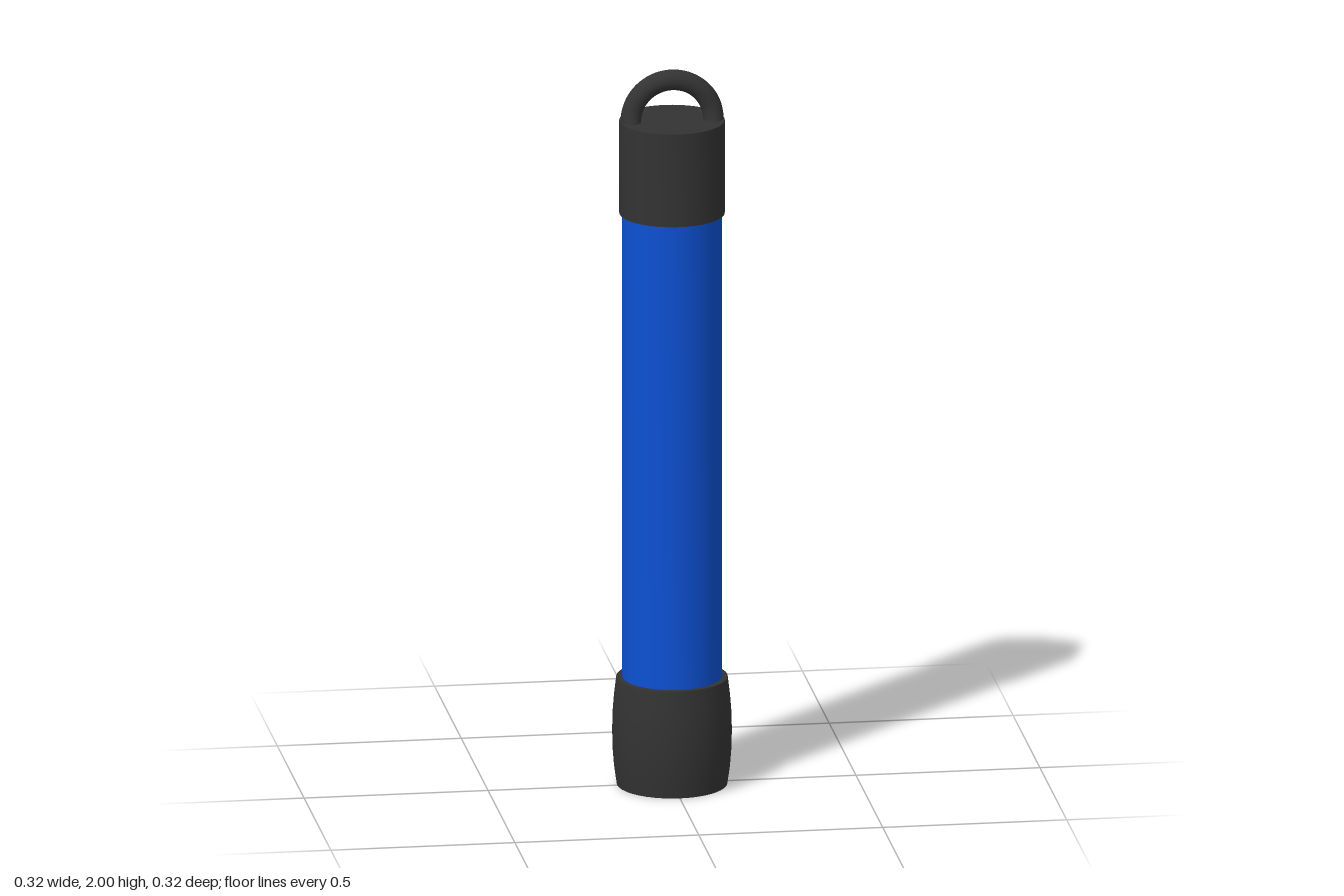
import * as THREE from 'three';
import { toCreasedNormals } from 'three/addons/utils/BufferGeometryUtils.js';

const SIDES = 40;
const rubber = new THREE.MeshStandardMaterial({ color: 0x333333 });
const blue = new THREE.MeshStandardMaterial({ color: 0x0d50d2 });

// Solid of revolution from [radius, height] pairs, listed bottom to top
function turned(name, profile, material) {
  const points = profile.map(([r, y]) => new THREE.Vector2(r, y));
  const geometry = toCreasedNormals(new THREE.LatheGeometry(points, SIDES), 0.6);
  const mesh = new THREE.Mesh(geometry, material);
  mesh.name = name;
  return mesh;
}

// Half ring whose two feet widen where they meet the cap
function hangingLoop() {
  const geometry = new THREE.TorusGeometry(0.112, 0.028, 16, 32, Math.PI);
  const pos = geometry.attributes.position;
  for (let i = 0; i < pos.count; i++) {
    const t = Math.max(0, 1 - pos.getY(i) / 0.05);
    pos.setZ(i, pos.getZ(i) * (1 + 0.35 * t * t));
  }
  geometry.computeVertexNormals();
  const mesh = new THREE.Mesh(geometry, rubber);
  mesh.name = 'hangingLoop';
  mesh.position.y = 1.86;
  return mesh;
}

export function createModel() {
  const group = new THREE.Group();
  group.name = 'lightStick';

  // Bulging foot
  group.add(turned('baseCap', [
    [0, 0], [0.149, 0], [0.156, 0.05], [0.16, 0.1], [0.161, 0.15],
    [0.16, 0.2], [0.156, 0.25], [0.15, 0.3], [0, 0.3],
  ], rubber));

  // Straight coloured body
  group.add(turned('tube', [[0, 0.28], [0.134, 0.28], [0.134, 1.62], [0, 1.62]], blue));

  // Top cap and its loop
  group.add(turned('topCap', [[0, 1.6], [0.142, 1.6], [0.142, 1.86], [0, 1.86]], rubber));
  group.add(hangingLoop());
  return group;
}
